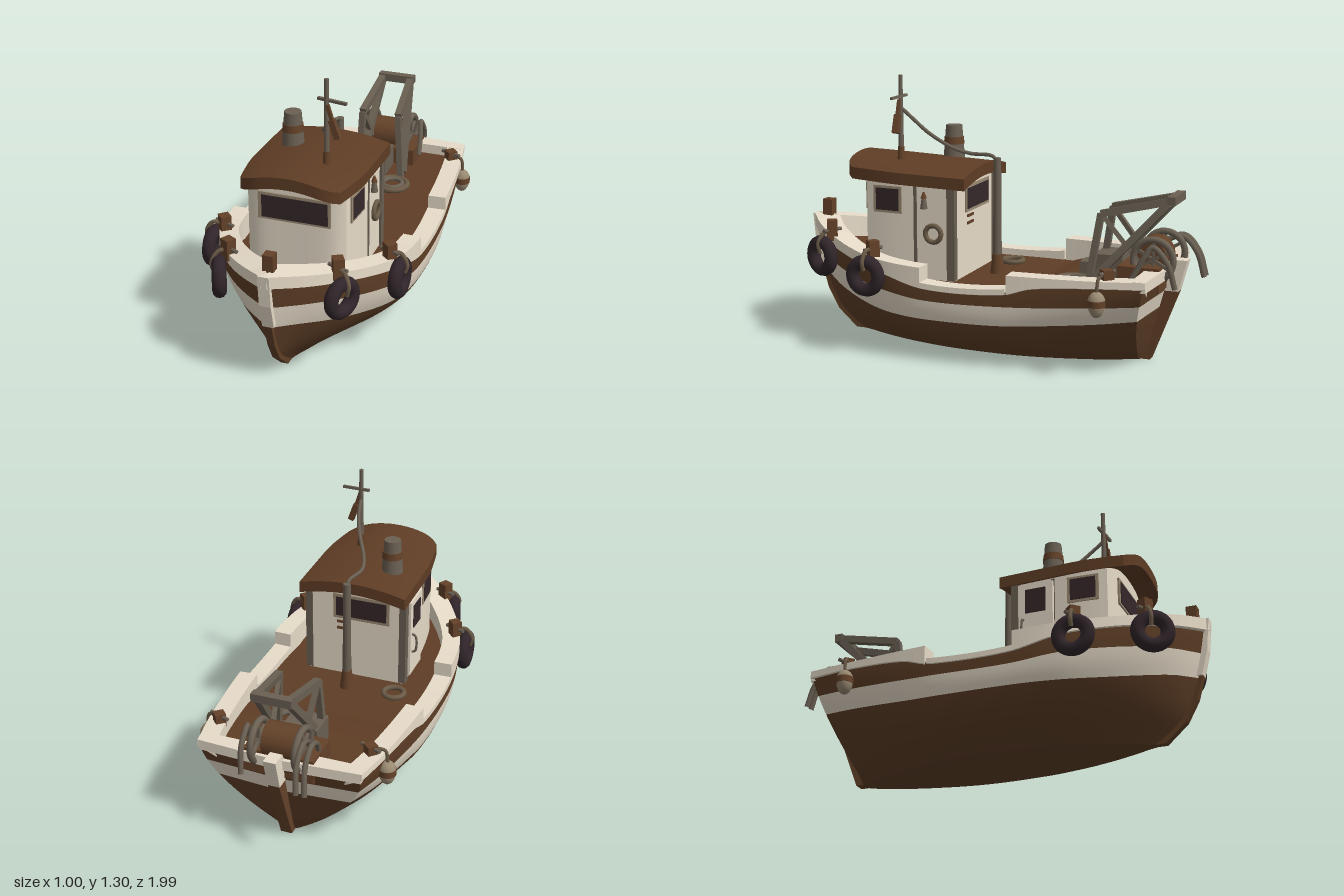
import * as THREE from 'three';
import { toCreasedNormals } from 'three/addons/utils/BufferGeometryUtils.js';

const mat = (name, color, side = THREE.FrontSide) => {
  const m = new THREE.MeshStandardMaterial({ color, side });
  m.name = name;
  return m;
};
const V = (x, y, z) => new THREE.Vector3(x, y, z);
const clamp = THREE.MathUtils.clamp, lerp = THREE.MathUtils.lerp;

// Smooth interpolation through a small table
function table(xs, ys) {
  const slope = i => {
    const a = Math.max(0, i - 1), b = Math.min(xs.length - 1, i + 1);
    return (ys[b] - ys[a]) / (xs[b] - xs[a]);
  };
  return x => {
    let i = 0;
    while (i < xs.length - 2 && x > xs[i + 1]) i++;
    const h = xs[i + 1] - xs[i], t = clamp((x - xs[i]) / h, 0, 1), t2 = t * t, t3 = t2 * t;
    return (2 * t3 - 3 * t2 + 1) * ys[i] + (t3 - 2 * t2 + t) * h * slope(i)
      + (3 * t2 - 2 * t3) * ys[i + 1] + (t3 - t2) * h * slope(i + 1);
  };
}

// Surface through rows of points; columns[i][j]
function grid(columns) {
  const n = columns[0].length, idx = [];
  for (let i = 0; i < columns.length - 1; i++) for (let j = 0; j < n - 1; j++) {
    const a = i * n + j, b = a + n;
    idx.push(a, b, b + 1, a, b + 1, a + 1);
  }
  const g = new THREE.BufferGeometry().setFromPoints(columns.flat());
  g.setIndex(idx);
  return toCreasedNormals(g, 0.6);
}

// Hull lines, stern (0) to bow (1)
const US = [0, 0.13, 0.35, 0.57, 0.7, 0.8, 0.89, 0.95, 1];
const beam = table(US, [0.39, 0.43, 0.465, 0.468, 0.443, 0.365, 0.25, 0.14, 0.012]);
const floor = table(US, [0.04, 0.12, 0.19, 0.19, 0.16, 0.12, 0.07, 0.03, 0.006]);
const power = table(US, [1.8, 2.4, 3.2, 3.2, 2.9, 2.4, 2, 1.7, 1.5]);
const sheer = table([0, 0.13, 0.28, 0.36, 0.57, 0.7, 0.8, 0.89, 0.95, 1],
  [0.435, 0.43, 0.41, 0.37, 0.365, 0.42, 0.455, 0.487, 0.507, 0.525]);
const stripeTop = table(US, [0.34, 0.325, 0.305, 0.3, 0.328, 0.353, 0.38, 0.395, 0.405]);
const stripeLow = table(US, [0.26, 0.238, 0.21, 0.205, 0.212, 0.23, 0.257, 0.28, 0.29]);
const railTop = table(US, [0.46, 0.455, 0.455, 0.455, 0.47, 0.495, 0.53, 0.555, 0.575]);
const bowZ = table([0, 0.1, 0.2, 0.35, 0.58], [0.76, 0.86, 0.91, 0.955, 0.995]);
const zAt = (u, y) => lerp(-0.72 - 0.12 * y / 0.45, bowZ(y), u);
const halfWidth = (u, y) => lerp(floor(u), beam(u), 1 - Math.pow(1 - clamp(y / sheer(u), 0, 1), power(u)));

export function createModel() {
  const root = new THREE.Group();
  root.name = 'fishingBoat';
  const cream = mat('creamPaint', 0xf4e8d4), hullBrown = mat('hullBrown', 0x5f3f27);
  const deckBrown = mat('deckBrown', 0x5f3d25, THREE.DoubleSide), wood = mat('wood', 0x644229);
  const metal = mat('weatheredMetal', 0x6a6053), rubber = mat('rubber', 0x30252a);
  const glass = mat('darkGlass', 0x35272a), rope = mat('rope', 0x6a5a46), trim = mat('tanTrim', 0x9a8a72);

  const add = (name, geo, m, x = 0, y = 0, z = 0, ry = 0) => {
    const mesh = new THREE.Mesh(geo, m);
    mesh.name = name;
    mesh.position.set(x, y, z);
    mesh.rotation.y = ry;
    root.add(mesh);
    return mesh;
  };
  const box = (name, m, w, h, d, x, y, z, ry) => add(name, new THREE.BoxGeometry(w, h, d), m, x, y, z, ry);
  const cyl = (name, m, r1, r0, h, x, y, z) => add(name, new THREE.CylinderGeometry(r1, r0, h, 20), m, x, y, z);
  const ring = (name, m, R, r, x, y, z, ry) => add(name, new THREE.TorusGeometry(R, r, 12, 28), m, x, y, z, ry);
  const tube = (name, m, r, pts) => add(name, new THREE.TubeGeometry(
    new THREE.CatmullRomCurve3(pts.map(p => V(...p))), 28, r, 8), m);
  const bar = (name, m, w, a, b, square = true) => {
    const p = V(...a), q = V(...b), len = p.distanceTo(q);
    const mesh = add(name, square ? new THREE.BoxGeometry(w, len, w) : new THREE.CylinderGeometry(w, w, len, 16), m);
    mesh.position.copy(p).lerp(q, 0.5);
    mesh.quaternion.setFromUnitVectors(V(0, 1, 0), q.sub(p).normalize());
    return mesh;
  };
  // Side profile of [z, y] points with a width across x
  const profile = (name, m, pts, w) => {
    const g = new THREE.ExtrudeGeometry(new THREE.Shape(pts.map(p => new THREE.Vector2(...p))), { depth: w, bevelEnabled: false });
    add(name, g.rotateY(-Math.PI / 2).translate(w / 2, 0, 0), m);
  };

  // Hull bands, running round from bow to transom to bow
  const N = 44, around = [];
  for (let i = N; i >= 0; i--) around.push([i / N, 1]);
  around.push([0, 0]);
  for (let i = 0; i <= N; i++) around.push([i / N, -1]);
  const band = (name, m, low, high, rows) => add(name, grid(around.map(([u, s]) => {
    const col = [];
    for (let j = 0; j <= rows; j++) {
      const y = lerp(low(u), high(u), j / rows);
      col.push(V(s * halfWidth(u, y), y, zAt(u, y) - (s ? 0 : 0.025)));
    }
    if (low(u) === 0) col.unshift(V(0, 0, col[0].z));
    return col;
  })), m);
  band('lowerHull', hullBrown, () => 0, stripeLow, 12);
  band('hullStripe', cream, stripeLow, stripeTop, 4);
  band('upperHull', hullBrown, stripeTop, sheer, 3);

  // Deck
  const deck = [];
  for (let i = 0; i <= N; i++) {
    const u = i / N, y = Math.max(0.345, sheer(u) - 0.045);
    deck.push([-1, 1].map(s => V(s * Math.max(0, beam(u) - 0.015), y, zAt(u, y))));
  }
  add('deck', grid(deck), deckBrown);

  // Rails: raised fore and aft, low amidships
  const rail = (name, u0, u1, top, s) => {
    const cols = [], steps = 24;
    for (let i = 0; i <= steps; i++) {
      const u = lerp(u0, u1, i / steps), h = top(u), b = sheer(u) - 0.008, e = 0.01;
      const ua = Math.max(0, u - e), ub = Math.min(1, u + e);
      const dx = beam(ub) - beam(ua), dz = zAt(ub, h) - zAt(ua, h), l = Math.hypot(dx, dz);
      const nx = dz / l, nz = -dx / l, x = beam(u), z = zAt(u, h), inner = -0.083 - 0.04 * u ** 8;
      const p = (o, y) => V(s * Math.max(0, x + nx * o), y, z + nz * o);
      const sec = [p(0.004, h), p(0.005, b), p(inner, b - 0.05), p(inner, h), p(0.004, h)];
      cols.push(s > 0 ? sec : sec.reverse());
    }
    const cap = c => { const m = V(0, 0, 0); c.slice(0, 4).forEach(q => m.addScaledVector(q, 0.25)); return c.map(() => m); };
    add(name, grid([cap(cols[0]), ...cols, cap(cols[steps])]), cream);
  };
  for (const s of [1, -1]) {
    rail('aftRail', 0, 0.345, railTop, s);
    rail('lowRail', 0.345, 0.58, u => sheer(u) + 0.018, s);
    rail('foreRail', 0.58, 1, railTop, s);
  }
  const sternShape = new THREE.Shape([[-0.39, 0.843], [-0.39, 0.775], [0.39, 0.775], [0.39, 0.843], [0, 0.868]].map(p => new THREE.Vector2(...p)));
  add('sternRail', new THREE.ExtrudeGeometry(sternShape, { depth: 0.05, bevelEnabled: false }).rotateX(-Math.PI / 2), cream, 0, 0.41, 0);

  // Stem, keel strip and rudder
  profile('stemHead', cream, [[0.92, 0.3], [0.955, 0.3], [0.985, 0.42], [1.0, 0.575], [0.88, 0.56]], 0.055);
  profile('stemStrip', hullBrown, [[0.7, 0], [0.77, 0], [0.87, 0.09], [0.925, 0.19], [0.957, 0.3], [0.9, 0.3], [0.8, 0.1]], 0.035);
  profile('rudder', wood, [[-0.68, 0], [-0.77, 0], [-0.9, 0.34], [-0.8, 0.34]], 0.055);
  profile('rudderHead', cream, [[-0.8, 0.34], [-0.9, 0.34], [-0.94, 0.49], [-0.86, 0.49]], 0.06);

  // Wheelhouse and roof share one camber, front taper and rounded front corners
  const roofY = (x, z) => 0.852 - lerp(0.036, 0.052, (z - 0.07) / 0.65) * (x / 0.27) ** 2 + (z - 0.07) * 0.052;
  const warp = (geo, fn) => {
    const p = geo.attributes.position;
    for (let i = 0; i < p.count; i++) {
      const x = p.getX(i), z = p.getZ(i), k = 1 - 0.13 * clamp((z - 0.4) / 0.32, 0, 1) ** 2;
      const round = 0.04 * Math.abs(x / 0.26) ** 6 * clamp((z - 0.4) / 0.2, 0, 1);
      p.setXYZ(i, x * k, fn(x, p.getY(i), z), z - round);
    }
    return toCreasedNormals(geo, 0.6);
  };
  add('wheelhouse', warp(new THREE.BoxGeometry(0.5, 1, 0.49, 16, 1, 10).translate(0, 0, 0.375),
    (x, y, z) => y > 0 ? roofY(x, z) : 0.33), cream);
  add('roof', warp(new THREE.BoxGeometry(0.54, 0.056, 0.65, 16, 1, 12).translate(0, 0, 0.395),
    (x, y, z) => roofY(x, z) + y), deckBrown);
  box('frontWindowFrame', trim, 0.345, 0.132, 0.009, 0, 0.717, 0.622);
  box('frontWindow', glass, 0.315, 0.108, 0.009, 0.003, 0.716, 0.626);
  box('backWindowFrame', trim, 0.29, 0.13, 0.009, -0.03, 0.72, 0.128);
  box('backWindow', glass, 0.26, 0.1, 0.009, -0.03, 0.72, 0.125);
  for (const y of [0.6, 0.635]) box('backSlat', wood, 0.07, 0.012, 0.009, 0.06, y, 0.127);
  for (const s of [1, -1]) {
    box('sideWindowFrame', trim, 0.009, 0.13, 0.15, s * 0.248, 0.72, 0.475, -s * 0.06);
    box('sideWindow', glass, 0.009, 0.106, 0.122, s * 0.251, 0.72, 0.475, -s * 0.06);
    box('cornerPost', metal, 0.035, 0.46, 0.04, s * 0.243, 0.58, 0.145);
    box('doorPost', metal, 0.012, 0.43, 0.016, s * 0.248, 0.58, 0.33);
  }
  // Side door with window and handle
  box('sideDoor', cream, 0.025, 0.4, 0.17, -0.26, 0.58, 0.25);
  box('sideDoorWindow', glass, 0.006, 0.12, 0.1, -0.274, 0.69, 0.25);
  tube('doorHandle', metal, 0.006, [[-0.27, 0.6, 0.19], [-0.29, 0.59, 0.19], [-0.29, 0.51, 0.19], [-0.27, 0.5, 0.19]]);
  ring('lifeRing', rope, 0.04, 0.012, 0.258, 0.57, 0.235, Math.PI / 2);
  cyl('lantern', metal, 0.01, 0.018, 0.05, 0.262, 0.715, 0.28);
  cyl('lanternCap', wood, 0.004, 0.015, 0.03, 0.262, 0.755, 0.28);

  // Chimney
  cyl('chimney', metal, 0.04, 0.055, 0.19, -0.13, 0.945, 0.29);
  cyl('chimneyBand', wood, 0.0475, 0.051, 0.035, -0.13, 0.965, 0.29);

  // Mast with crossbar and furled flag
  cyl('mast', metal, 0.01, 0.014, 0.42, 0.1, 1.09, 0.47);
  cyl('mastFoot', wood, 0.015, 0.02, 0.09, 0.1, 0.91, 0.47);
  bar('crossbar', metal, 0.013, [0.055, 1.2, 0.46], [0.195, 1.195, 0.475]);
  bar('furledFlag', wood, 0.016, [0.105, 1.18, 0.475], [0.13, 1.1, 0.475]);
  bar('furledFlagEnd', wood, 0.028, [0.125, 1.11, 0.475], [0.155, 1.025, 0.475]);

  // Deck post carrying a pipe forward to the mast
  cyl('deckPost', metal, 0.018, 0.022, 0.54, 0, 0.64, 0.01);
  cyl('deckPostFoot', wood, 0.024, 0.035, 0.1, 0, 0.39, 0.01);
  tube('stayPipe', metal, 0.009, [[0, 0.88, 0.01], [0, 0.915, 0.03], [-0.02, 0.92, 0.16], [0, 0.945, 0.24], [0.06, 1.02, 0.34], [0.09, 1.09, 0.41], [0.1, 1.14, 0.465]]);

  // Bollards, tyre fenders and floats
  const bollard = (x, y, z, h) => {
    box('bollard', wood, 0.05, h, 0.05, x, y + h / 2 - 0.02, z, x * 2);
    if (x) bar('bollardPin', metal, 0.009, [x - 0.05, y + 0.03, z - 0.02], [x + 0.05, y + 0.03, z + 0.02], false);
  };
  bollard(0, 0.56, 0.92, 0.11);
  for (const s of [1, -1]) {
    bollard(s * 0.26, 0.52, 0.77, 0.1);
    bollard(s * 0.405, 0.48, 0.48, 0.09);
    bollard(s * 0.37, 0.455, -0.66, 0.065);
    ring('bowFender', rubber, 0.068, 0.033, s * 0.292, 0.425, 0.81, s * 1.15);
    ring('sideFender', rubber, 0.068, 0.032, s * 0.458, 0.39, 0.495, s * 1.52);
    tube('bowFenderRope', rope, 0.01, [[s * 0.26, 0.55, 0.775], [s * 0.3, 0.54, 0.795], [s * 0.325, 0.49, 0.815], [s * 0.315, 0.44, 0.81]]);
    tube('sideFenderRope', rope, 0.01, [[s * 0.4, 0.5, 0.48], [s * 0.46, 0.51, 0.49], [s * 0.492, 0.46, 0.495], [s * 0.482, 0.42, 0.495]]);
    add('floatTop', new THREE.SphereGeometry(0.04, 20, 8, 0, Math.PI * 2, 0, Math.PI / 2), trim, s * 0.44, 0.365, -0.635).scale.y = 1.2;
    add('floatBottom', new THREE.SphereGeometry(0.04, 20, 8, 0, Math.PI * 2, Math.PI / 2, Math.PI / 2), trim, s * 0.44, 0.365, -0.635).scale.y = 1.8;
    cyl('floatBand', wood, 0.041, 0.041, 0.03, s * 0.44, 0.36, -0.635);
    tube('floatRope', rope, 0.008, [[s * 0.37, 0.475, -0.65], [s * 0.43, 0.47, -0.64], [s * 0.442, 0.4, -0.635]]);
  }

  // Stern gantry
  for (const [x, xb] of [[-0.07, -0.08], [0.08, 0.15]]) {
    const top = [x, 0.775, -0.88], knee = [(x + xb) / 2, 0.7, -0.55];
    bar('gantryArm', metal, 0.034, knee, top);
    bar('gantryLeg', metal, 0.03, [xb, 0.36, -0.5], knee);
    bar('gantryStrut', metal, 0.034, [xb, 0.4, -0.53], [x, 0.76, -0.86]);
    bar('gantryBrace', metal, 0.022, knee, [x, 0.47, -0.73]);
  }
  bar('gantryTop', metal, 0.04, [-0.09, 0.775, -0.875], [0.1, 0.775, -0.875]);

  // Winch, machinery boxes and net hoops
  bar('winchDrum', wood, 0.085, [-0.08, 0.5, -0.77], [0.08, 0.5, -0.77], false);
  box('winchBed', wood, 0.34, 0.115, 0.2, 0, 0.415, -0.745);
  for (const x of [-0.1, 0.11]) {
    ring('winchWheel', metal, 0.095, 0.016, x, 0.5, -0.8, Math.PI / 2);
    for (let i = 0; i < 3; i++) {
      const a = i * Math.PI / 3, c = Math.cos(a) * 0.095, d = Math.sin(a) * 0.095;
      bar('winchSpoke', metal, 0.014, [x, 0.5 - c, -0.8 - d], [x, 0.5 + c, -0.8 + d]);
    }
  }
  [[-0.17, 0.985], [-0.13, 0.985], [0.16, 0.92]].forEach(([x, z]) =>
    tube('netHoop', metal, 0.013, [[x + 0.02, 0.42, -0.72], [x + 0.01, 0.53, -0.78], [x, 0.57, 0.11 - z], [x, 0.5, 0.04 - z], [x - 0.01, 0.38, 0.005 - z]]));
  box('machineBox', metal, 0.17, 0.13, 0.14, -0.02, 0.43, -0.57);
  box('smallBox', metal, 0.1, 0.09, 0.08, -0.02, 0.4, -0.46);

  // Rope coils lying on the deck
  ring('sternCoil', rope, 0.075, 0.015, 0.13, 0.38, -0.42).rotation.x = Math.PI / 2;
  ring('sternCoilInner', metal, 0.05, 0.012, 0.13, 0.385, -0.42).rotation.x = Math.PI / 2;
  ring('deckCoil', rope, 0.05, 0.013, -0.24, 0.355, 0.02).rotation.x = Math.PI / 2;

  return root;
}
